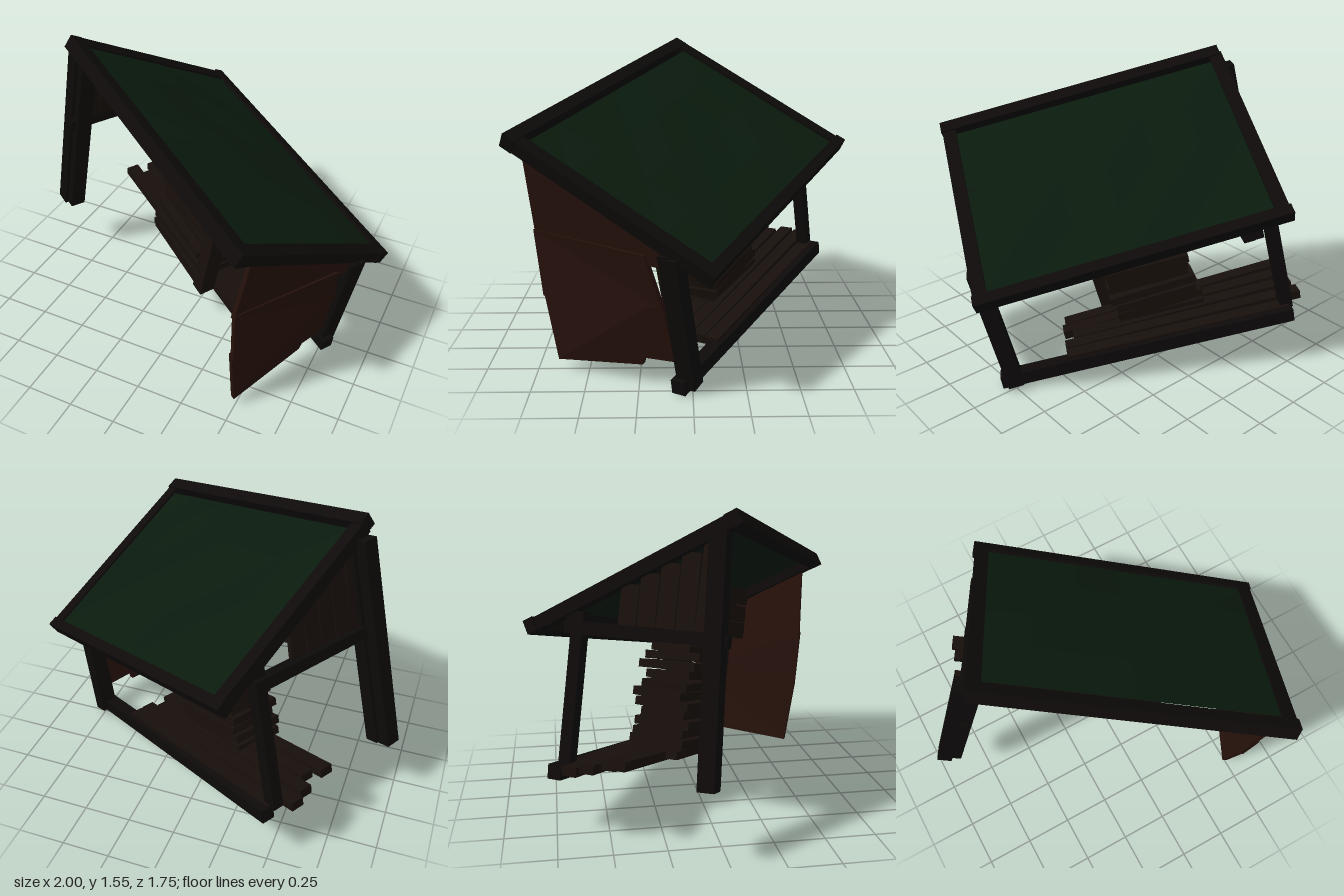
import * as THREE from 'three';

const mat = (color) => new THREE.MeshStandardMaterial({ color, flatShading: true, roughness: 0.9, side: THREE.DoubleSide });

export function createModel() {
  const root = new THREE.Group();
  root.name = 'leaningShed';
  const beamMat = mat(0x0d0a09), woodMat = mat(0x170f0b), redMat = mat(0x26110b), greenMat = mat(0x0a1a0d);

  let seed = 7;
  const rnd = (a) => {
    seed = (seed * 16807) % 2147483647;
    return (seed / 2147483647 - 0.5) * 2 * a;
  };

  // The shed is upright in its own frame; this group tilts it as a whole
  const shed = new THREE.Group();
  shed.name = 'shed';
  const along = new THREE.Vector3(0.83, -0.236, 0.505).normalize();
  const front = new THREE.Vector3(-0.522, -0.008, 0.853).normalize();
  const up = new THREE.Vector3().crossVectors(front, along).normalize();
  front.crossVectors(along, up);
  shed.quaternion.setFromRotationMatrix(new THREE.Matrix4().makeBasis(along, up, front));
  root.add(shed);

  const add = (parent, name, geometry, material) => {
    const m = new THREE.Mesh(geometry, material);
    m.name = name;
    parent.add(m);
    return m;
  };
  // Box between two corners
  const box = (parent, name, material, [x0, x1], [y0, y1], [z0, z1]) => {
    const m = add(parent, name, new THREE.BoxGeometry(x1 - x0, y1 - y0, z1 - z0), material);
    m.position.set((x0 + x1) / 2, (y0 + y1) / 2, (z0 + z1) / 2);
    return m;
  };
  const roofY = (z) => 1.36 - 0.56 * (0.395 - z); // top of roof at depth z

  // Roof: sloping frame of beams around a dented sheet
  const roof = new THREE.Group();
  roof.name = 'roof';
  roof.position.set(-0.135, 1.081, -0.103);
  roof.rotation.x = -0.515;
  shed.add(roof);
  const hx = 0.775, hz = 0.57;
  for (const s of [-1, 1]) {
    const side = box(roof, 'sideFascia', beamMat, [-0.035, 0.035], [-0.06, 0.005], [-hz, hz - 0.03]);
    side.position.x = s * (hx - 0.035);
    side.rotation.y = 0.008 * s;
  }
  box(roof, 'frontFascia', beamMat, [-hx + 0.005, hx + 0.01], [-0.06, 0.012], [hz - 0.05, hz + 0.018]);
  box(roof, 'backFascia', beamMat, [-hx - 0.005, hx], [-0.06, 0.01], [-hz, -hz + 0.055]);
  const sheet = new THREE.PlaneGeometry(1.46, 1.025, 6, 4).rotateX(-Math.PI / 2);
  const sp = sheet.attributes.position;
  for (let i = 0; i < sp.count; i++) {
    const edge = Math.abs(sp.getX(i)) > 0.72 || Math.abs(sp.getZ(i)) > 0.5;
    sp.setY(i, edge ? -0.008 : 0.004 + rnd(0.012));
  }
  add(roof, 'roofSheet', sheet, greenMat).position.z = -0.017;

  // Posts: a doubled front post leaning forward at the foot, and two back posts
  box(shed, 'frontPostOuter', beamMat, [-0.96, -0.88], [0.155, 1.28], [0.335, 0.415]).rotation.x = -0.05;
  box(shed, 'frontPostInner', beamMat, [-0.9, -0.83], [0.165, 1.25], [0.315, 0.4]).rotation.x = -0.05;
  box(shed, 'backLeftPost', beamMat, [-0.885, -0.82], [0.13, 0.88], [-0.36, -0.3]);
  box(shed, 'backRightPost', beamMat, [0.575, 0.655], [0.18, 0.86], [-0.425, -0.335]);

  // Horizontal beams; the sill sags toward its left end
  const sill = box(shed, 'backSill', beamMat, [-0.87, 0.685], [0.1, 0.17], [-0.405, -0.335]);
  sill.position.y = 0.16;
  sill.rotation.set(0, -0.02, 0.055);
  box(shed, 'backTopBeam', beamMat, [-0.88, 0.65], [0.82, 0.87], [-0.39, -0.33]);
  box(shed, 'leftSideBeam', beamMat, [-0.91, -0.85], [0.775, 0.835], [-0.38, 0.42]);

  // Floor boards fanning from the right, with uneven left ends
  const ends = [-0.86, -0.95, -0.93, -0.86, -0.92];
  ends.forEach((x, i) => {
    const z = -0.34 + i * 0.076;
    const left = 0.13 + i * 0.018, right = 0.215;
    const b = box(shed, 'floorBoard', woodMat, [x, 0.31 + rnd(0.04)], [0, 0.045], [z - 0.036, z + 0.036]);
    b.position.y = (left + right) / 2;
    b.rotation.z = (right - left) / 1.22;
  });

  // Left gable: upright boards between the side beam and the roof
  for (let i = 0; i < 5; i++) {
    const z = -0.08 + i * 0.095;
    const b = box(shed, 'gableBoard', woodMat, [-0.875, -0.85], [0.79 + rnd(0.01), roofY(z) - 0.07], [z - 0.045, z + 0.045]);
    b.rotation.x = rnd(0.03);
  }

  // Partition: three long boards hung under the middle of the roof
  for (let i = 0; i < 3; i++) {
    const b = box(shed, 'partitionBoard', woodMat, [-0.84 + rnd(0.03), 0.58 + rnd(0.03)],
      [0.83 + i * 0.099, 0.924 + i * 0.099], [-0.015, 0.015]);
    b.rotation.set(rnd(0.05), 0, rnd(0.008));
  }
  box(shed, 'partitionBatten', woodMat, [-0.78, 0.35], [0.85, 0.91], [0.015, 0.035]);

  // Stack of rough planks under the partition, held by an upright board
  for (let i = 0; i < 14; i++) {
    const y = 0.22 + i * 0.048;
    const p = box(shed, 'stackedPlank', woodMat, [-0.43 + i * 0.005 + rnd(0.03), 0.02 + rnd(0.02)], [y - 0.021, y + 0.021],
      [-0.2 + rnd(0.03), 0.07 + rnd(0.03)]);
    p.rotation.set(rnd(0.04), rnd(0.06), rnd(0.03));
  }
  box(shed, 'stackUpright', woodMat, [0.02, 0.1], [0.2, 0.86], [0.0, 0.09]).rotation.z = -0.03;

  // Right wall: broad panels reaching the roof and splaying outward at the foot
  const panel = (name, pts, x) => {
    const shape = new THREE.Shape(pts.map(([z, y]) => new THREE.Vector2(z, y)));
    const g = new THREE.ExtrudeGeometry(shape, { depth: 0.025, bevelEnabled: false }).rotateY(-Math.PI / 2);
    const p = g.attributes.position;
    for (let i = 0; i < p.count; i++) {
      p.setX(i, p.getX(i) + x + 0.15 * Math.max(0, 0.9 - p.getY(i)) * (p.getZ(i) + 0.36) / 0.7);
    }
    g.computeVertexNormals();
    add(shed, name, g, redMat);
  };
  panel('rightWallLower', [[-0.16, 0.27], [0.295, 0.235], [0.34, 0.6], [-0.3, 0.64], [-0.33, 0.31], [-0.17, 0.31]], 0.635);
  panel('rightWallMiddle', [[-0.31, 0.6], [0.335, 0.57], [0.352, 0.9], [-0.26, 0.86]], 0.645);
  panel('rightWallUpper', [[-0.34, 0.8], [0.35, 0.86], [0.33, roofY(0.33) - 0.06], [-0.34, roofY(-0.34) - 0.06]], 0.635);

  return root;
}
